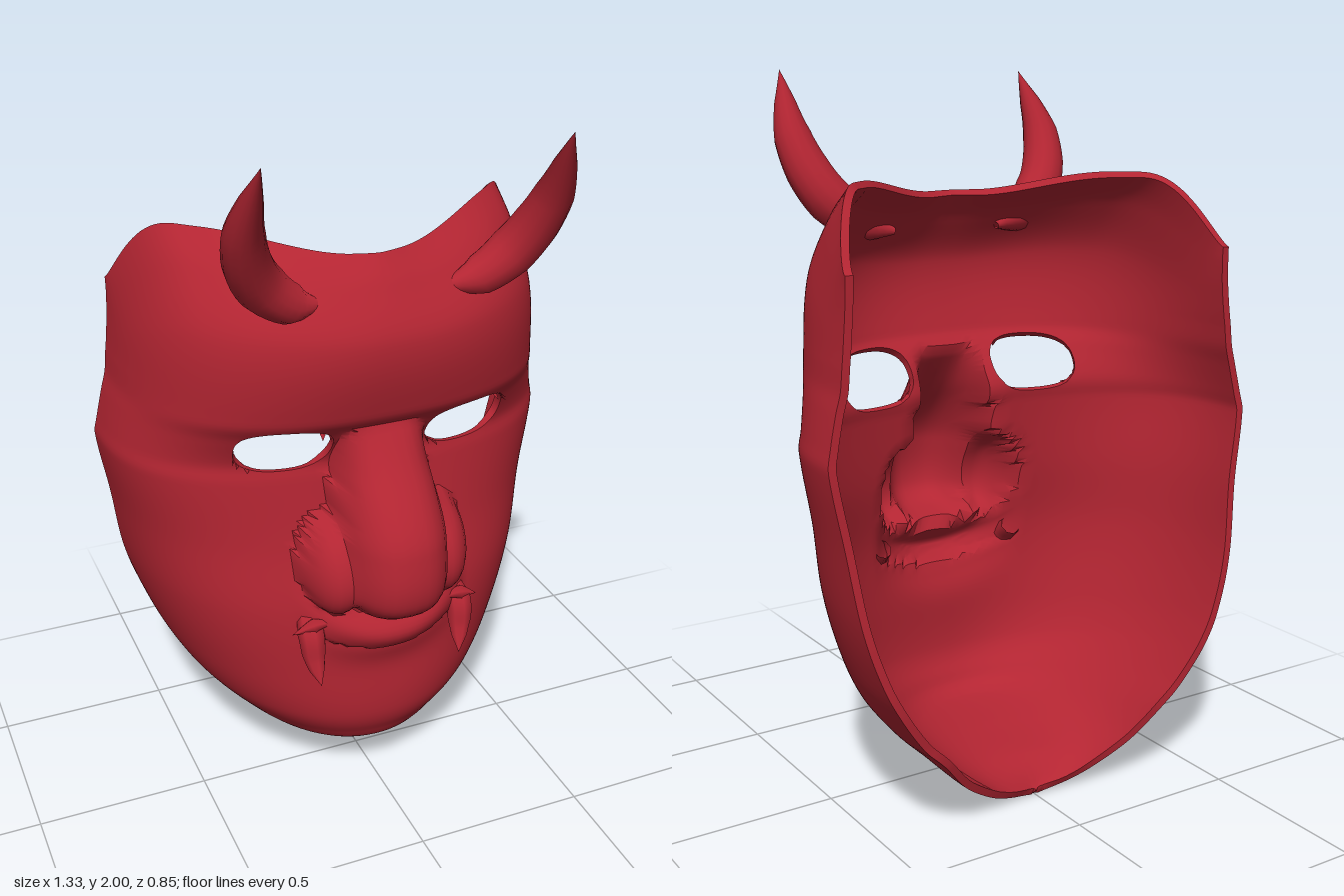
import * as THREE from 'three';
import { toCreasedNormals } from 'three/addons/utils/BufferGeometryUtils.js';

// Smooth interpolation through a table whose first column is the key (descending)
function sample(table, key) {
  const last = table.length - 1;
  const k = THREE.MathUtils.clamp(key, table[last][0], table[0][0]);
  let i = 0;
  while (i < last - 1 && table[i + 1][0] > k) i++;
  const h = table[i + 1][0] - table[i][0], t = (k - table[i][0]) / h;
  const slope = (n, c) => {
    const a = table[Math.max(n - 1, 0)], b = table[Math.min(n + 1, last)];
    return (b[c] - a[c]) / (b[0] - a[0]);
  };
  return table[i].map((v, c) => c === 0 ? k :
    v * (2 * t ** 3 - 3 * t * t + 1) + table[i + 1][c] * (3 * t * t - 2 * t ** 3) +
    h * (slope(i, c) * (t ** 3 - 2 * t * t + t) + slope(i + 1, c) * (t ** 3 - t * t)));
}

// Face rows: centre y, centre z, half width, edge y, edge z, roundness
const ROWS = [
  [1.67, 0.16, 0.6, 1.67, -0.345, 1.4], [1.6, 0.215, 0.6, 1.6, -0.345, 1.8],
  [1.46, 0.28, 0.605, 1.46, -0.345, 2.3], [1.25, 0.245, 0.62, 1.25, -0.35, 2.5],
  [1.19, 0.2, 0.635, 1.19, -0.35, 2.5], [1.1, 0.145, 0.655, 1.1, -0.355, 2.6],
  [1.05, 0.15, 0.663, 1.05, -0.36, 2.6], [0.85, 0.18, 0.63, 0.85, -0.375, 2.5],
  [0.65, 0.22, 0.6, 0.65, -0.4, 2.5], [0.45, 0.23, 0.555, 0.5, -0.415, 2.4],
  [0.28, 0.23, 0.5, 0.39, -0.42, 2.2], [0.2, 0.2, 0.43, 0.29, -0.41, 2.1],
  [0.13, 0.13, 0.36, 0.22, -0.4, 2], [0.1, -0.05, 0.27, 0.12, -0.36, 2],
  [0.07, -0.2, 0.15, 0.04, -0.315, 2], [0, -0.28, 0.01, 0, -0.285, 2],
];
// Nose: y, front z, half width
const NOSE = [
  [1.24, 0.2, 0.09], [1.12, 0.28, 0.125], [0.98, 0.385, 0.15], [0.9, 0.42, 0.16],
  [0.76, 0.425, 0.155], [0.69, 0.37, 0.12], [0.655, 0.25, 0.08],
];
const EYE = { x: 0.268, y: 1.15, rx: 0.13, ry: 0.072 };
const eyeRadius = (x, y) => (Math.abs((Math.abs(x) - EYE.x) / EYE.rx) ** 2.6 +
  Math.abs((y - EYE.y) / EYE.ry) ** 2.6) ** (1 / 2.6);
const bell = t => Math.exp(-t * t);

// Nose, nostril wings and lips raised from the face
function relief(x, y, z) {
  const ax = Math.abs(x), base = z;
  if (y < NOSE[0][0] && y > 0.655) {
    const [, front, half] = sample(NOSE, y);
    if (ax < half) z = Math.max(z, base + (front - base) * Math.sqrt(1 - (ax / half) ** 2.5));
  }
  const wing = 1 - ((ax - 0.16) / 0.09) ** 2 - ((y - 0.81) / 0.145) ** 2;
  if (wing > 0) z = Math.max(z, base + 0.14 * Math.sqrt(wing));
  if (ax < 0.26 && y < 0.8 && y > 0.35) {
    const d = y - (0.535 + 0.045 * (ax / 0.2) ** 2);
    const fade = 1 - (ax / 0.26) ** 2;
    const lip = d > 0 ? 0.085 * bell((d - 0.06) / 0.08) : 0.025 * bell(d / 0.06);
    z = Math.max(z, base + fade * lip);
  }
  return z;
}

// Point on the outside of the face at row q
function facePoint(x, q) {
  const [, zc, w, ye, ze, a] = sample(ROWS, q);
  const X = Math.min(Math.abs(x) / w, 1);
  const c = (1 - X ** a) ** (1 / a);
  // raised, rounded upper corners
  const top = THREE.MathUtils.clamp((q - 1.3) / 0.37, 0, 1);
  const corner = 0.05 * THREE.MathUtils.smoothstep(X, 0.12, 0.68) -
    0.2 * Math.max(0, (X - 0.75) / 0.25) ** 2.5;
  const y = q + (ye - q) * (1 - c) + top * corner;
  return [x, y, relief(x, y, ze + (zc - ze) * c)];
}

function faceShell(thickness) {
  const N = 60, cols = 2 * N + 1, rows = [];
  ROWS.forEach((r, i) => {
    const next = ROWS[i + 1];
    if (!next) return rows.push(r[0]);
    const n = Math.ceil(Math.max(r[0] - next[0], Math.abs(r[1] - next[1])) / 0.014);
    for (let k = 0; k < n; k++) rows.push(r[0] + (next[0] - r[0]) * k / n);
  });
  // outer skin, with vertices inside an eye pushed to its outline
  const pos = [], inside = [];
  for (const q0 of rows) {
    const [, , w, , , a] = sample(ROWS, q0);
    for (let j = -N; j <= N; j++) {
      let q = q0, x = Math.sign(j) * w * Math.sin(Math.abs(j) / N * Math.PI / 2) ** (2 / a);
      const r = eyeRadius(x, q);
      inside.push(r < 1);
      if (r < 1) {
        const cx = Math.sign(x) * EYE.x, f = 1 / Math.max(r, 0.01);
        x = cx + (x - cx) * f;
        q = EYE.y + (q - EYE.y) * f;
      }
      pos.push(...facePoint(x, q));
    }
  }
  const index = [];
  for (let i = 0; i < rows.length - 1; i++) for (let j = 0; j < cols - 1; j++) {
    const a = i * cols + j, b = a + 1, c = a + cols, d = c + 1;
    if ([a, b, c, d].every(v => inside[v])) continue;
    index.push(a, c, d, a, d, b);
  }
  const geo = new THREE.BufferGeometry();
  geo.setAttribute('position', new THREE.Float32BufferAttribute(pos, 3));
  geo.setIndex(index);
  geo.computeVertexNormals();
  // inner skin, then walls along every open edge
  const count = pos.length / 3, nor = geo.attributes.normal.array;
  const both = pos.concat(pos.map((v, i) => v - thickness * nor[i]));
  const faces = index.slice(), edges = new Set();
  for (let i = 0; i < index.length; i += 3) {
    const [a, b, c] = index.slice(i, i + 3);
    faces.push(a + count, c + count, b + count);
    for (const [p, q] of [[a, b], [b, c], [c, a]]) edges.add(p * count + q);
  }
  for (const e of edges) {
    const p = Math.floor(e / count), q = e % count;
    if (!edges.has(q * count + p)) faces.push(q, p, p + count, q, p + count, q + count);
  }
  geo.deleteAttribute('normal');
  geo.setAttribute('position', new THREE.Float32BufferAttribute(both, 3));
  geo.setIndex(faces);
  return toCreasedNormals(geo, 0.7);
}

// Curved tube whose radius follows a list of values
function taperedTube(points, radii, sides) {
  const path = new THREE.CatmullRomCurve3(points.map(p => new THREE.Vector3(...p)));
  const steps = 24, geo = new THREE.TubeGeometry(path, steps, 1, sides);
  const p = geo.attributes.position, v = new THREE.Vector3();
  for (let i = 0; i <= steps; i++) {
    const centre = path.getPointAt(i / steps);
    const f = i / steps * (radii.length - 1), k = Math.min(Math.floor(f), radii.length - 2);
    const r = THREE.MathUtils.lerp(radii[k], radii[k + 1], f - k);
    for (let j = 0; j <= sides; j++) {
      const n = i * (sides + 1) + j;
      v.fromBufferAttribute(p, n).sub(centre).multiplyScalar(r).add(centre);
      p.setXYZ(n, v.x, v.y, v.z);
    }
  }
  return geo;
}

export function createModel() {
  const group = new THREE.Group();
  const red = new THREE.MeshStandardMaterial({ color: 0xb32532, side: THREE.DoubleSide });
  red.name = 'red';
  const add = (name, geo) => {
    const mesh = new THREE.Mesh(geo, red);
    mesh.name = name;
    group.add(mesh);
  };

  add('faceShell', faceShell(0.022));

  for (const [side, s] of [['left', 1], ['right', -1]]) {
    const mirror = pts => pts.map(([x, y, z]) => [s * x, y, z]);
    // horn sweeping out, then up and forward
    add(side + 'Horn', taperedTube(mirror([
      [0.17, 1.56, 0.18], [0.27, 1.59, 0.205], [0.36, 1.67, 0.235],
      [0.41, 1.8, 0.3], [0.4, 2.0, 0.41],
    ]), [0.01, 0.055, 0.066, 0.062, 0.052, 0.03, 0], 14));
    // tusk at the corner of the mouth
    add(side + 'Tusk', taperedTube(mirror([
      [0.225, 0.64, 0.18], [0.228, 0.6, 0.225], [0.225, 0.53, 0.24], [0.215, 0.45, 0.265],
    ]), [0.03, 0.04, 0.036, 0.024, 0], 8));
    // fold of lip above the tusk
    add(side + 'LipFold', taperedTube(mirror([
      [0.16, 0.635, 0.24], [0.22, 0.638, 0.235], [0.285, 0.615, 0.225],
    ]), [0, 0.022, 0], 6));
  }
  return group;
}
